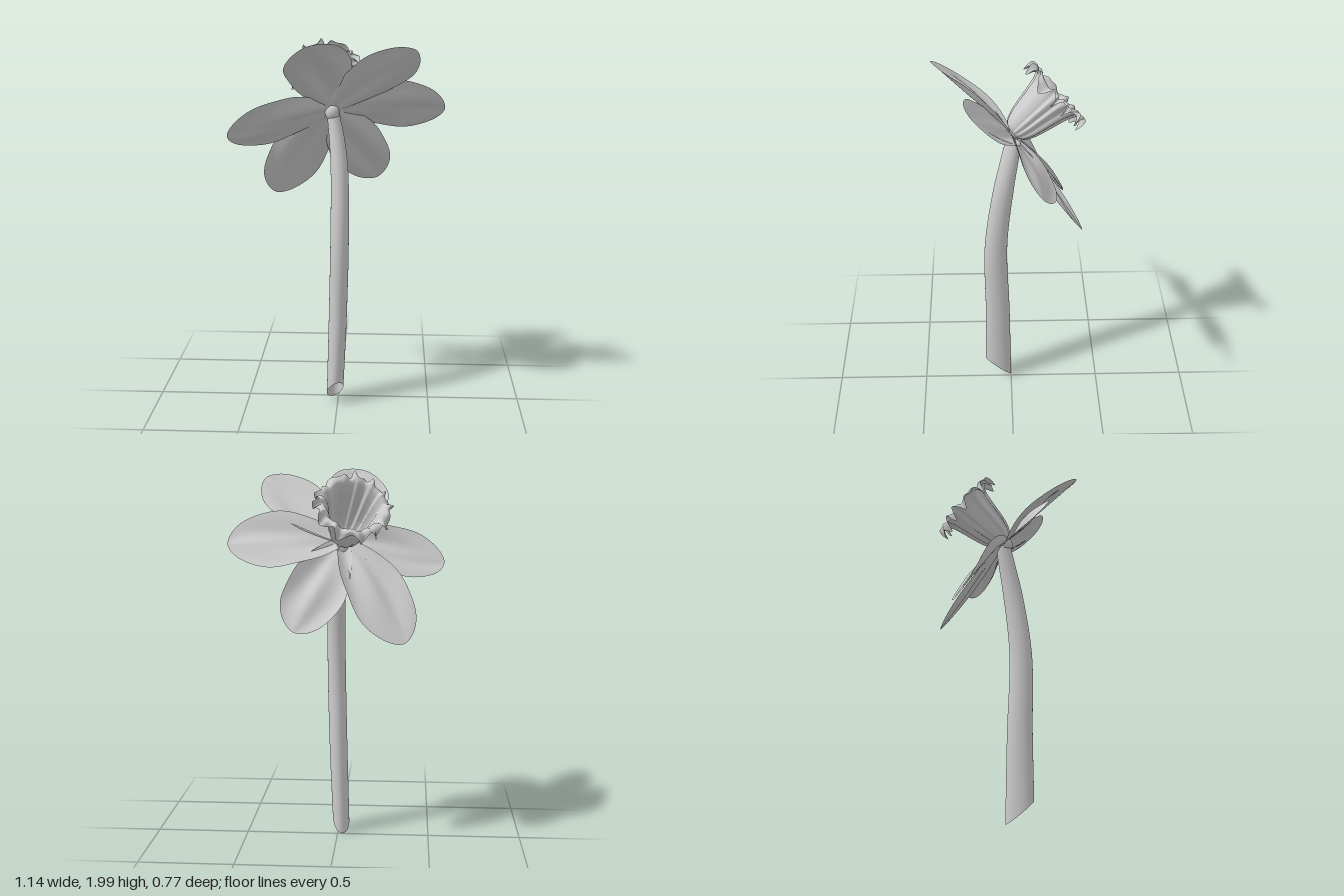
import * as THREE from 'three';

const V = (x, y, z) => new THREE.Vector3(x, y, z);
const material = new THREE.MeshStandardMaterial({ color: 0xcccccc, side: THREE.DoubleSide });
const centre = V(-0.03, 1.62, 0);
const axis = V(-0.22, 0.63, -0.75).normalize(); // direction the flower faces

// Smooth surface from a rule point(s, t), s and t in 0..1; wrap joins t = 1 to t = 0
function surface(name, rows, cols, wrap, point) {
  const pos = [], index = [];
  const n = wrap ? cols : cols + 1;
  for (let i = 0; i <= rows; i++) {
    for (let j = 0; j < n; j++) pos.push(...point(i / rows, j / cols).toArray());
  }
  for (let i = 0; i < rows; i++) {
    for (let j = 0; j < cols; j++) {
      const a = i * n + j, b = i * n + ((j + 1) % n), c = a + n, d = b + n;
      index.push(a, c, b, b, c, d);
    }
  }
  const g = new THREE.BufferGeometry();
  g.setAttribute('position', new THREE.Float32BufferAttribute(pos, 3));
  g.setIndex(index);
  g.computeVertexNormals();
  const mesh = new THREE.Mesh(g, material);
  mesh.name = name;
  return mesh;
}

// Hollow oval stem, cut at a slant at the foot
function createStem() {
  const path = new THREE.CatmullRomCurve3([
    V(-0.015, 0.066, 0.073), V(0, 0.5, 0.076), V(0.01, 0.95, 0.083),
    V(0.007, 1.3, 0.043), V(-0.01, 1.48, 0.01), V(-0.03, 1.6, -0.012)]);
  return surface('stem', 60, 28, true, (s, t) => {
    const p = path.getPoint(s), a = t * Math.PI * 2;
    const x = Math.cos(a) * (0.046 + 0.006 * Math.sin(s * Math.PI) - 0.014 * s * s);
    const z = Math.sin(a) * (0.073 - 0.03 * s);
    const cut = Math.max(0, 1 - s / 0.15);
    return V(p.x + x, p.y + (0.85 * z + 0.5 * x) * cut - 0.45 * z * s ** 3, p.z + z);
  });
}

// Ovate petal with a cupped base, a raised midrib and a slightly wavy edge
function createPetal(tip, halfWidth, lift, phase) {
  const along = tip.clone().sub(centre);
  const dir = along.clone().normalize();
  const up = axis.clone().addScaledVector(dir, -axis.dot(dir)).normalize();
  const across = up.clone().cross(dir);
  return surface('petal', 32, 24, false, (s, t) => {
    const u = Math.sin(s * Math.PI / 2), v = t * 2 - 1;
    const w = halfWidth * Math.pow(u, 0.6) * Math.pow(Math.max(0, 1 - Math.pow(u, 2.4)), 0.6) / 0.6
      + 0.012 * (1 - u);
    const body = Math.sin(Math.PI * u);
    const height = lift * body + 0.035 * v * v * Math.sin(Math.PI * Math.pow(u, 0.7))
      + 0.014 * body * Math.exp(-v * v * 14)
      + 0.008 * body * Math.sin(v * 5 + u * 4 + phase);
    const wave = 1 + 0.025 * Math.sin(u * 13 + phase + v * 2);
    return centre.clone().addScaledVector(along, u)
      .addScaledVector(across, v * w * wave).addScaledVector(up, height);
  });
}

// Ribbed trumpet with a frilled, toothed rim that rolls outwards
function createTrumpet() {
  const side = V(1, 0, 0).addScaledVector(axis, -axis.x).normalize();
  const other = axis.clone().cross(side);
  const profile = new THREE.CatmullRomCurve3([
    V(0.035, 0.012, 0), V(0.062, 0.028, 0), V(0.087, 0.08, 0), V(0.104, 0.15, 0),
    V(0.119, 0.22, 0), V(0.134, 0.275, 0), V(0.155, 0.312, 0), V(0.178, 0.315, 0), V(0.197, 0.292, 0)]);
  const place = (r, h, a) => centre.clone().addScaledVector(axis, h)
    .addScaledVector(side, r * Math.cos(a)).addScaledVector(other, r * Math.sin(a));
  const group = new THREE.Group();
  group.name = 'trumpet';
  group.add(surface('corona', 44, 240, true, (s, t) => {
    const p = profile.getPoint(s), a = t * Math.PI * 2;
    const b = a + 0.09 * Math.sin(3 * a) + 0.05 * Math.sin(5 * a + 1);
    const fold = Math.sin(12 * b + 0.5 * Math.sin(12 * b));
    const frill = Math.sin(24 * b + 2 * Math.sin(2 * a));
    const rib = 0.005 * Math.sin(Math.PI * Math.min(1, s * 1.2)) + 0.012 * s ** 4;
    const r = p.x + fold * rib + frill * 0.004 * s ** 10;
    const h = p.y + (0.03 * Math.cos(12 * b + 0.6) + 0.01 * frill + 0.008 * Math.sin(3 * a)) * s ** 6;
    return place(r, h, a + 0.04 * s ** 8 * Math.sin(12 * b + 1.5));
  }));
  // Small floor at the bottom of the trumpet
  group.add(surface('trumpetFloor', 4, 28, true, (s, t) =>
    place(0.036 * (1 - s), 0.03 + 0.012 * Math.sin(s * Math.PI / 2), t * Math.PI * 2)));
  return group;
}

export function createModel() {
  const model = new THREE.Group();
  model.name = 'flower';
  model.add(createStem());

  // Swollen base behind the petals
  const base = new THREE.Mesh(new THREE.SphereGeometry(0.038, 24, 16), material);
  base.name = 'flowerBase';
  base.scale.set(1, 1.2, 1);
  base.position.set(-0.034, 1.607, 0);
  model.add(base);

  // Six petals, alternating between an inner and an outer ring
  const petals = new THREE.Group();
  petals.name = 'petals';
  const tips = [
    [-0.125, 1.985, 0.4, 0.167], [0.4, 1.95, 0.2, 0.15], [0.565, 1.61, -0.13, 0.165],
    [0.2, 1.185, -0.36, 0.15], [-0.36, 1.115, -0.255, 0.16], [-0.57, 1.5, 0.165, 0.15]];
  tips.forEach(([x, y, z, w], i) =>
    petals.add(createPetal(V(x, y, z), w, i % 2 ? -0.012 : 0.012, i * 1.7)));
  model.add(petals);

  model.add(createTrumpet());
  return model;
}
